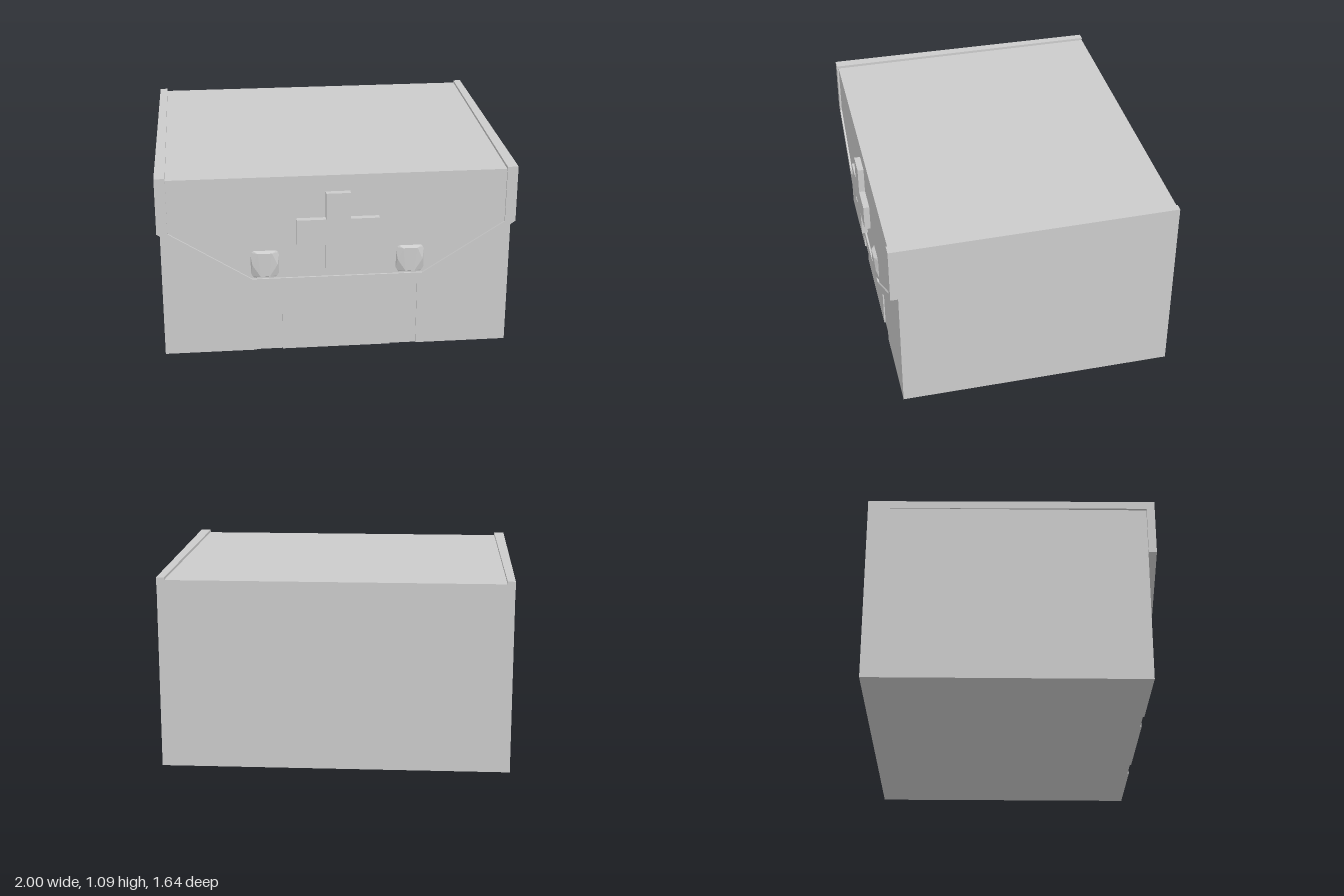
import * as THREE from 'three';
import { ConvexGeometry } from 'three/addons/geometries/ConvexGeometry.js';

const material = new THREE.MeshStandardMaterial({ color: 0xcccccc, flatShading: true });

const shapeOf = (points) => new THREE.Shape(points.map(([x, y]) => new THREE.Vector2(x, y)));

// Flat plate with the given outline, between two z depths
function plate(shape, zBack, zFront) {
  const g = new THREE.ExtrudeGeometry(shape, { depth: zFront - zBack, bevelEnabled: false });
  return g.translate(0, 0, zBack);
}

// Box given by its minimum and maximum corners
function block(x0, x1, y0, y1, z0, z1) {
  const g = new THREE.BoxGeometry(x1 - x0, y1 - y0, z1 - z0);
  return g.translate((x0 + x1) / 2, (y0 + y1) / 2, (z0 + z1) / 2);
}

export function createModel() {
  const group = new THREE.Group();
  const add = (name, geometry) => {
    const mesh = new THREE.Mesh(geometry, material);
    mesh.name = name;
    group.add(mesh);
    return mesh;
  };

  // Body: footprint with two shallow strap grooves in the front, raised upward
  const front = -0.75, groove = -0.742;
  const footprint = [[-0.983, 0.82], [-0.983, front]];
  for (const x of [-0.46, 0.31]) {
    footprint.push([x, front], [x, groove], [x + 0.15, groove], [x + 0.15, front]);
  }
  footprint.push([0.983, front], [0.983, 0.82]);
  add('body', plate(shapeOf(footprint), 0, 1.045).rotateX(-Math.PI / 2));

  // Lid top and the sunken panel of the front flap
  add('lidTop', block(-0.94, 0.94, 1.045, 1.075, -0.82, 0.785));
  const inner = [[-0.94, 1.075], [-0.94, 0.765], [-0.48, 0.47], [0.48, 0.47], [0.94, 0.765], [0.94, 1.075]];
  add('flapPanel', plate(shapeOf(inner), 0.75, 0.785));

  // Raised border around the flap
  const border = [
    [-1, 1.09], [-1, 0.765], [-0.49, 0.42], [0.49, 0.42], [1, 0.765], [1, 1.09],
    [0.94, 1.09], ...inner.slice(1, 5).reverse(), [-0.94, 1.09],
  ];
  add('flapBorder', plate(shapeOf(border), 0.75, 0.795));

  // Lid side rails, narrowing until flush with the body at the back
  for (const side of [-1, 1]) {
    const [x0, x1] = side < 0 ? [-1, -0.94] : [0.94, 1];
    const rail = block(x0, x1, 1.045, 1.09, -0.82, 0.75);
    const p = rail.attributes.position;
    for (let i = 0; i < p.count; i++) {
      if (p.getZ(i) < 0 && Math.abs(p.getX(i)) > 0.97) p.setX(i, side * 0.984);
    }
    rail.computeVertexNormals();
    add(side < 0 ? 'rightRail' : 'leftRail', rail);
  }

  // Raised cross emblem
  const a = 0.23, b = 0.068, c = 0.077;
  const cross = [
    [-b, a], [-b, c], [-a, c], [-a, -c], [-b, -c], [-b, -a],
    [b, -a], [b, -c], [a, -c], [a, c], [b, c], [b, a],
  ];
  add('cross', plate(shapeOf(cross), -0.04, 0).translate(0, 0.75, 0.82));

  // Faceted clasps
  for (const side of [-1, 1]) {
    const points = [];
    for (const s of [-1, 1]) {
      points.push(
        new THREE.Vector3(s * 0.082, 0.07, 0.78), new THREE.Vector3(s * 0.07, 0.083, 0.78),
        new THREE.Vector3(s * 0.082, -0.07, 0.78), new THREE.Vector3(s * 0.07, -0.083, 0.78),
        new THREE.Vector3(s * 0.04, 0.07, 0.805), new THREE.Vector3(s * 0.07, 0, 0.801),
        new THREE.Vector3(s * 0.025, -0.07, 0.805),
      );
    }
    add(side < 0 ? 'rightClasp' : 'leftClasp', new ConvexGeometry(points)).position.set(side * 0.408, 0.558, 0);
  }

  return group;
}
